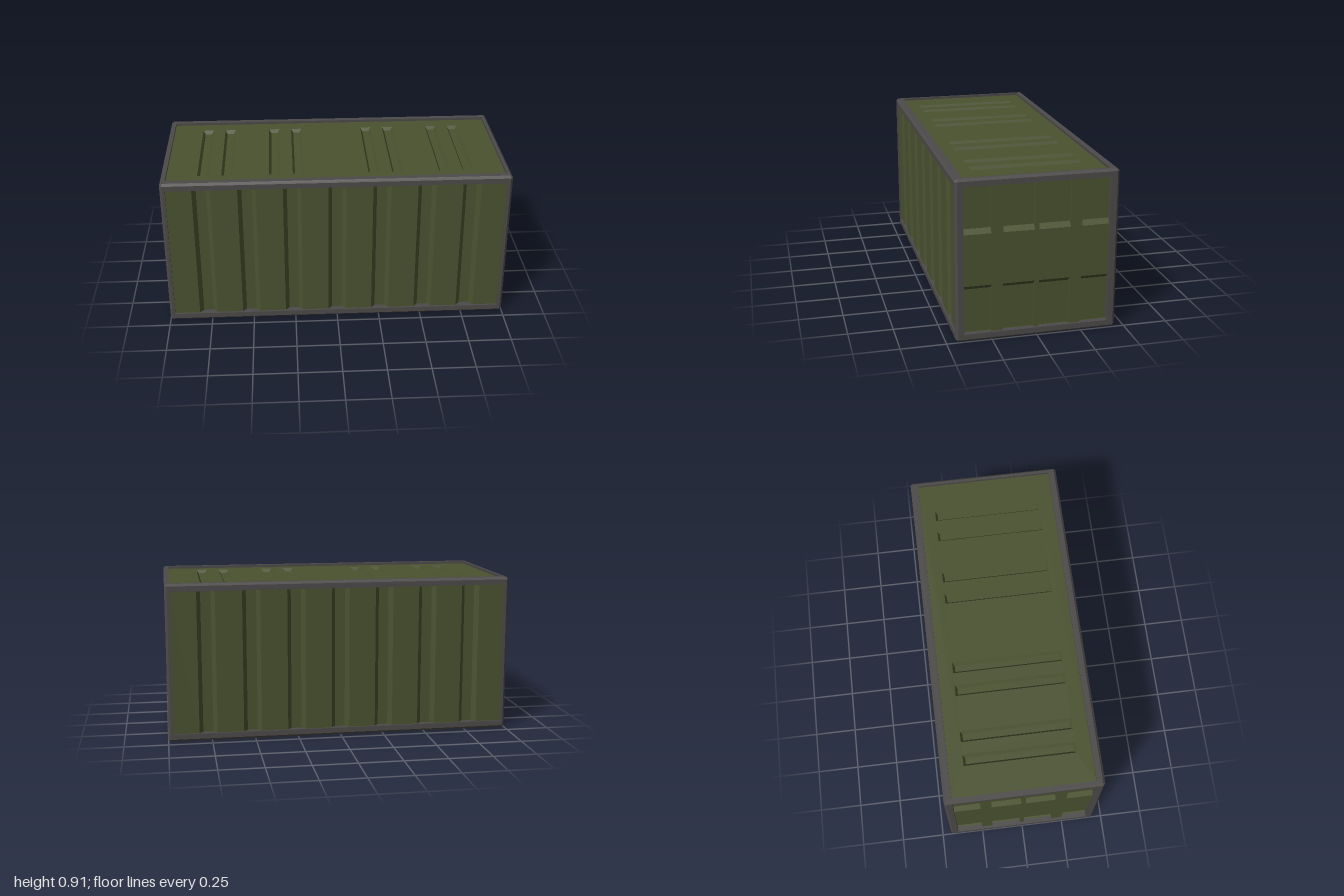
import * as THREE from 'three';

// Overall half sizes, edge chamfer and beam section per axis
const HALF = { x: 1, y: 0.4555, z: 0.4475 };
const BEAM = { x: 0.03, y: 0.043, z: 0.046 };
const CHAMFER = 0.013;

const steel = new THREE.MeshStandardMaterial({ color: 0x4c4a49, flatShading: true });
const paint = new THREE.MeshStandardMaterial({ color: 0x4a5230, flatShading: true, side: THREE.DoubleSide });

function mesh(name, geometry, material) {
  const m = new THREE.Mesh(geometry, material);
  m.name = name;
  return m;
}

// Straight beam along z with its outer edge chamfered; a and b are the section axes
function beamGeometry(length, a, b, sa, sb) {
  const [A, B] = [HALF[a], HALF[b]];
  const points = [
    [A - BEAM[a], B - BEAM[b]], [A, B - BEAM[b]], [A, B - CHAMFER],
    [A - CHAMFER, B], [A - BEAM[a], B],
  ].map(([u, v]) => new THREE.Vector2(u * sa, v * sb));
  const g = new THREE.ExtrudeGeometry(new THREE.Shape(points), { depth: length, bevelEnabled: false });
  return g.translate(0, 0, -length / 2);
}

function buildFrame() {
  const frame = new THREE.Group();
  frame.name = 'frame';
  const span = (axis) => 2 * (HALF[axis] - CHAMFER);
  for (const s of [-1, 1]) {
    for (const t of [-1, 1]) {
      frame.add(mesh('longBeam', beamGeometry(span('x'), 'z', 'y', s, t).rotateY(Math.PI / 2), steel));
      frame.add(mesh('cornerPost', beamGeometry(span('y'), 'x', 'z', s, t).rotateX(Math.PI / 2), steel));
      frame.add(mesh('crossBeam', beamGeometry(span('z'), 'x', 'y', s, t), steel));
      // Octahedra close the chamfered corners where three beams meet
      for (const r of [-1, 1]) {
        const corner = mesh('cornerCap', new THREE.OctahedronGeometry(CHAMFER), steel);
        corner.position.set(s * (HALF.x - CHAMFER), t * (HALF.y - CHAMFER), r * (HALF.z - CHAMFER));
        frame.add(corner);
      }
    }
  }
  return frame;
}

// Rectangle corners, counter-clockwise, from [x0, x1, y0, y1]
const corners = ([x0, x1, y0, y1]) => [[x0, y0], [x1, y0], [x1, y1], [x0, y1]];

// Recess with sloping walls from the mouth rectangle down to the floor rectangle
function recessGeometry({ mouth, floor, depth }) {
  const top = corners(mouth).map(([x, y]) => [x, y, 0]);
  const low = corners(floor).map(([x, y]) => [x, y, -depth]);
  const quads = [low];
  for (let i = 0; i < 4; i++) {
    const j = (i + 1) % 4;
    quads.push([top[i], top[j], low[j], low[i]]);
  }
  const positions = quads.flatMap(([a, b, c, d]) => [a, b, c, a, c, d].flat());
  const g = new THREE.BufferGeometry();
  g.setAttribute('position', new THREE.Float32BufferAttribute(positions, 3));
  g.computeVertexNormals();
  return g;
}

// Flat sheet facing +z, pressed with recesses
function buildPanel(name, halfW, halfH, recesses) {
  const panel = new THREE.Group();
  panel.name = name;
  const toVectors = (rect) => corners(rect).map(([x, y]) => new THREE.Vector2(x, y));
  const sheet = new THREE.Shape(toVectors([-halfW, halfW, -halfH, halfH]));
  for (const r of recesses) {
    sheet.holes.push(new THREE.Path(toVectors(r.mouth).reverse()));
    panel.add(mesh('recess', recessGeometry(r), paint));
  }
  panel.add(mesh('sheet', new THREE.ShapeGeometry(sheet), paint));
  return panel;
}

// Side walls: seven full-height grooves with sloping flanks
function sideRecesses() {
  const list = [];
  for (let i = -3; i <= 3; i++) {
    const x = i * 0.257;
    list.push({
      mouth: [x - 0.052, x + 0.052, -0.416, 0.416],
      floor: [x - 0.029, x + 0.029, -0.416, 0.416],
      depth: 0.025,
    });
  }
  return list;
}

// Roof and floor: four pairs of short grooves
function roofRecesses() {
  const list = [];
  for (const c of [0.217, 0.354, 0.626, 0.763]) {
    for (const x of [-c, c]) {
      list.push({
        mouth: [x - 0.032, x + 0.032, -0.316, 0.316],
        floor: [x - 0.019, x + 0.019, -0.303, 0.303],
        depth: 0.02,
      });
    }
  }
  return list;
}

// End doors: two rows of four recesses, each row sloping towards the middle band
function doorRecesses() {
  const list = [];
  for (const [a, b] of [[-0.404, -0.249], [-0.186, -0.012], [0.012, 0.186], [0.249, 0.404]]) {
    list.push({ mouth: [a, b, 0.147, 0.416], floor: [a, b, 0.172, 0.416], depth: 0.027 });
    list.push({ mouth: [a, b, -0.416, -0.143], floor: [a, b, -0.416, -0.168], depth: 0.027 });
  }
  return list;
}

export function createModel() {
  const container = new THREE.Group();
  container.name = 'cargoContainer';
  container.add(buildFrame());

  for (const s of [-1, 1]) {
    const side = buildPanel(s > 0 ? 'frontWall' : 'backWall', 0.98, 0.425, sideRecesses());
    side.position.z = s * 0.436;
    side.rotation.y = s > 0 ? 0 : Math.PI;

    const roof = buildPanel(s > 0 ? 'roof' : 'floor', 0.98, 0.41, roofRecesses());
    roof.position.y = s * (HALF.y - 0.015);
    roof.rotation.x = -s * Math.PI / 2;

    const door = buildPanel(s > 0 ? 'leftDoors' : 'rightDoors', 0.41, 0.425, doorRecesses());
    door.position.x = s * 0.985;
    door.rotation.y = s * Math.PI / 2;

    container.add(side, roof, door);
  }

  container.position.y = HALF.y;
  const model = new THREE.Group();
  model.name = 'model';
  model.add(container);
  return model;
}
